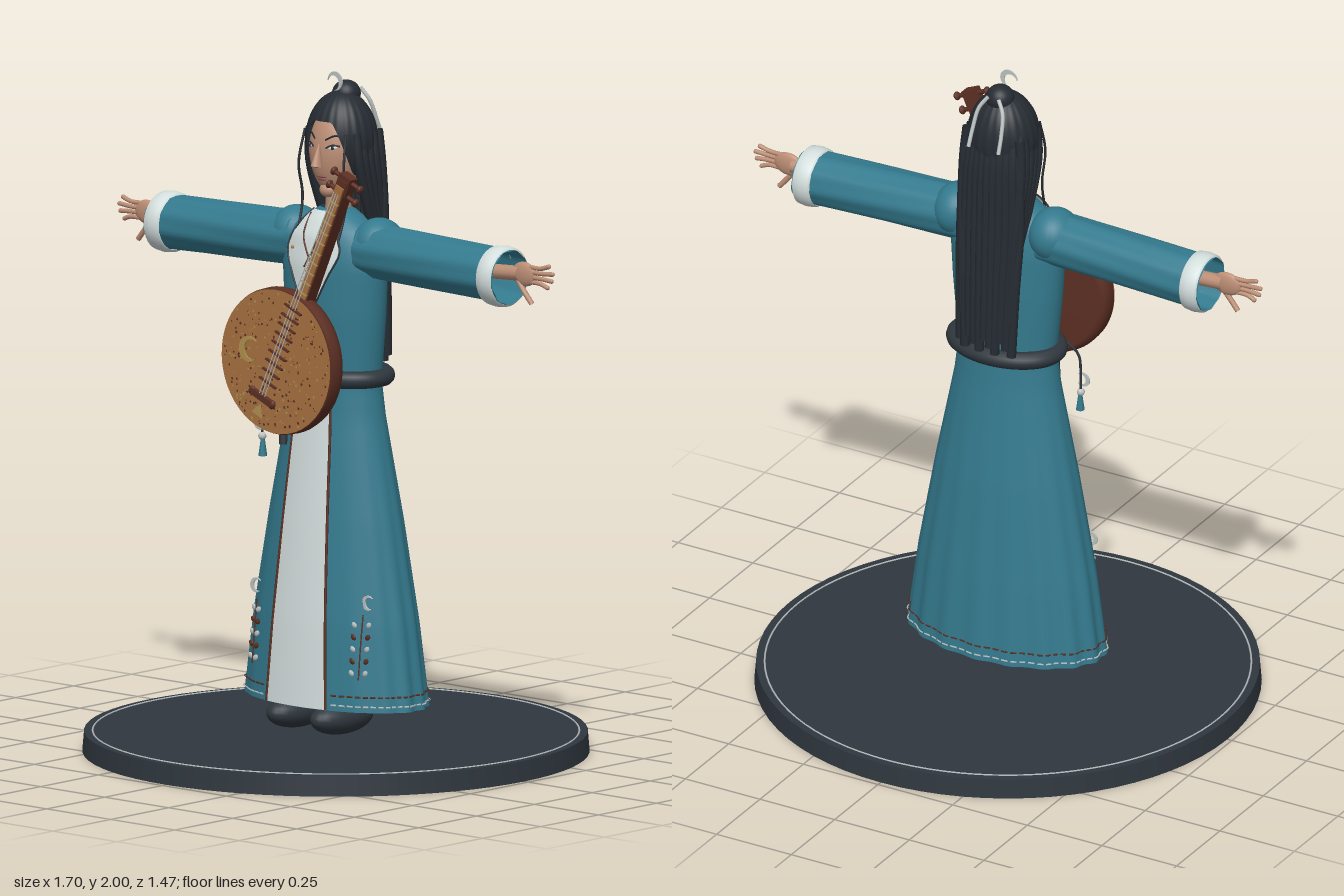
import * as THREE from 'three';
import { mergeGeometries } from 'three/addons/utils/BufferGeometryUtils.js';

const V = (x, y, z) => new THREE.Vector3(x, y, z);
const mat = (name, color) => {
  const m = new THREE.MeshStandardMaterial({ color, side: THREE.DoubleSide });
  m.name = name;
  return m;
};

// robe sections: height, half width, front depth, back depth
const SECTIONS = [
  [0.155, 0.315, 0.18, 0.19], [0.4, 0.282, 0.165, 0.172], [0.7, 0.228, 0.137, 0.145],
  [1.0, 0.168, 0.105, 0.108], [1.1, 0.155, 0.1, 0.1], [1.3, 0.175, 0.108, 0.1],
  [1.45, 0.185, 0.106, 0.095], [1.53, 0.16, 0.092, 0.085], [1.575, 0.1, 0.068, 0.07], [1.605, 0.045, 0.045, 0.05],
];
function section(y) {
  let i = 0;
  while (i < SECTIONS.length - 2 && y > SECTIONS[i + 1][0]) i++;
  const a = SECTIONS[i], b = SECTIONS[i + 1];
  const t = THREE.MathUtils.clamp((y - a[0]) / (b[0] - a[0]), 0, 1);
  return a.map((v, k) => v + (b[k] - v) * t);
}
// point on the robe at angle a (0 = front), with soft folds in the skirt
function robePoint(a, y, off = 0) {
  const [, rx, f, b] = section(y), c = Math.cos(a);
  const fold = 1 + 0.018 * Math.max(0, (1.05 - y) / 0.9) * (1 - Math.max(0, c)) * Math.cos(a * 18);
  return V((rx * fold + off) * Math.sin(a), y, ((c > 0 ? f : b) * fold + off) * c);
}
// front of the robe at a given x and y
function onFront(x, y, off = 0.006) {
  const [, rx, f] = section(y), s = THREE.MathUtils.clamp(x / rx, -1, 1);
  return V(x, y, f * Math.sqrt(1 - s * s) + off);
}
// grid surface from a function of u and v in 0..1
function surface(fn, nu, nv) {
  const pos = [], idx = [];
  for (let j = 0; j <= nv; j++) for (let i = 0; i <= nu; i++) pos.push(...fn(i / nu, j / nv).toArray());
  for (let j = 0; j < nv; j++) for (let i = 0; i < nu; i++) {
    const a = j * (nu + 1) + i, c = a + nu + 1;
    idx.push(a, a + 1, c + 1, a, c + 1, c);
  }
  const g = new THREE.BufferGeometry();
  g.setAttribute('position', new THREE.Float32BufferAttribute(pos, 3));
  g.setIndex(idx);
  g.computeVertexNormals();
  return g;
}
const tube = (pts, r, n = 16, sides = 8, closed = false) =>
  new THREE.TubeGeometry(new THREE.CatmullRomCurve3(pts, closed), n, r, sides, closed);
const ball = (rx, ry, rz, n = 24) => new THREE.SphereGeometry(1, n, n * 0.75).scale(rx, ry, rz);
function crescentGeo(r, depth = 0.005) {
  const s = new THREE.Shape();
  s.absarc(0, 0, r, 0.7, Math.PI * 2 - 0.7, false);
  s.absarc(r * 0.32, 0, r * 0.78, -0.98, 0.98, true);
  return new THREE.ExtrudeGeometry(s, { depth, bevelEnabled: false, curveSegments: 14 });
}

export function createModel() {
  const M = {
    teal: mat('teal cloth', 0x347a8e), white: mat('pale cloth', 0xd3dedd), hair: mat('black hair', 0x262c33),
    slate: mat('dark slate', 0x2f373e), skin: mat('skin', 0xbd8f76), tan: mat('tan wood', 0xa8713f),
    brown: mat('red brown wood', 0x5c2f23), gold: mat('gold', 0xb0914f), silver: mat('silver', 0xbcc3c3),
    rose: mat('lips', 0x8c5550),
  };
  const model = new THREE.Group();
  model.name = 'figure';
  const add = (name, geo, m, p = [0, 0, 0], r = [0, 0, 0], parent = model) => {
    const mesh = new THREE.Mesh(geo, m);
    mesh.name = name;
    mesh.position.set(...p);
    mesh.rotation.set(...r);
    parent.add(mesh);
    return mesh;
  };
  const both = fn => [1, -1].forEach(fn);

  // display base
  add('base', new THREE.CylinderGeometry(0.73, 0.735, 0.06, 72), M.slate, [0, 0.03, 0]);
  add('baseRing', new THREE.TorusGeometry(0.705, 0.003, 4, 96), M.silver, [0, 0.06, 0], [Math.PI / 2, 0, 0]);

  // robe, pale front panel and trim
  add('robe', surface((u, v) => robePoint(u * Math.PI * 2, 0.155 + v * 1.45), 144, 48), M.teal);
  const panelHalf = y => 0.115 - (y - 0.155) * 0.054;
  add('frontPanel', surface((u, v) => {
    const y = 0.157 + v * 0.93;
    return onFront((u * 2 - 1) * panelHalf(y), y);
  }, 12, 24), M.white);
  both(s => add('panelTrim', tube([0.158, 0.4, 0.7, 1.0, 1.09].map(y => onFront(s * panelHalf(y), y)), 0.004), M.brown));
  [[0.172, M.silver], [0.2, M.brown]].forEach(([y, m]) => {
    const dashes = [];
    for (let i = 0; i < 60; i++) {
      const a = 0.42 + (i / 60) * (Math.PI * 2 - 0.84);
      dashes.push(tube([0, 0.03, 0.06].map(d => robePoint(a + d, y, 0.003)), 0.0028, 3, 4));
    }
    add('hemStitching', mergeGeometries(dashes), m);
  });
  both(s => {
    add('skirtMoon', crescentGeo(0.022), M.silver, onFront(s * 0.218, 0.475, 0.008).toArray());
    for (let i = 0; i < 5; i++) both(k => add('skirtEmbroidery', ball(0.011, 0.008, 0.004, 8), i % 2 ? M.brown : M.silver,
      onFront(s * 0.205 + k * 0.018, 0.27 + i * 0.035, 0.006).toArray(), [0, 0, k * 0.6]));
    add('skirtStem', tube([0.25, 0.35, 0.44].map(y => onFront(s * 0.207, y)), 0.002), M.brown);
  });

  // collar lapels
  const lapelEdge = [[0.042, 1.6], [0.075, 1.55], [0.1, 1.49], [0.07, 1.42], [0.03, 1.34]];
  both(s => {
    add('lapel', surface((u, v) => {
      const f = v * 4, i = Math.min(3, Math.floor(f)), [a, b] = [lapelEdge[i], lapelEdge[i + 1]];
      const x = a[0] + (b[0] - a[0]) * (f - i), y = a[1] + (b[1] - a[1]) * (f - i);
      return onFront(s * x * u, y, 0.014);
    }, 6, 16), M.white);
    add('lapelTrim', tube(lapelEdge.map(([x, y]) => onFront(s * x, y, 0.015)), 0.003), M.slate);
    add('lapelFold', tube([onFront(s * 0.04, 1.59, 0.016), onFront(s * 0.03, 1.53, 0.016), onFront(s * -0.015, 1.44, 0.016)], 0.0025), M.brown);
    add('lapelStud', ball(0.006, 0.006, 0.004, 8), M.gold, onFront(s * 0.072, 1.49, 0.018).toArray());
  });

  // sash and waist pendants
  const ring = Array.from({ length: 24 }, (_, i) => {
    const a = (i / 24) * Math.PI * 2;
    return V(0.162 * Math.sin(a), 1.115, -0.006 + 0.112 * Math.cos(a));
  });
  add('sash', tube(ring, 0.026, 72, 12, true), M.slate);
  add('pendantCord', tube([V(-0.12, 1.1, 0.11), V(-0.16, 1.05, 0.13), V(-0.165, 0.98, 0.135), V(-0.165, 0.88, 0.135)], 0.004), M.slate);
  add('pendantMoon', crescentGeo(0.022), M.silver, [-0.17, 0.965, 0.138]);
  add('pendantBead', ball(0.012, 0.012, 0.012, 10), M.silver, [-0.165, 0.925, 0.136]);
  add('pendantTassel', new THREE.CylinderGeometry(0.006, 0.013, 0.05, 8), M.teal, [-0.163, 0.892, 0.136]);
  add('sashTail', tube([V(-0.08, 1.1, 0.12), V(-0.088, 1.0, 0.125), V(-0.085, 0.91, 0.135)], 0.012), M.slate);

  // shoes, sleeves, cuffs and hands
  both(s => {
    add('shoe', ball(0.06, 0.05, 0.12), M.slate, [s * 0.085, 0.12, 0.07]);
    add('shoulder', ball(0.075, 0.08, 0.082), M.teal, [s * 0.16, 1.508, -0.008]);
    add('sleeve', surface((u, v) => {
      const a = u * Math.PI * 2, r = 0.079 + 0.002 * Math.cos(a * 9 + v * 3);
      return V(s * (0.13 + v * 0.55), 1.493 - v * 0.016 + r * Math.cos(a), r * Math.sin(a));
    }, 48, 12), M.teal);
    const cuff = [[0.08, -0.029], [0.087, -0.024], [0.09, 0], [0.087, 0.024], [0.08, 0.029]];
    add('cuff', new THREE.LatheGeometry(cuff.map(p => new THREE.Vector2(...p)), 40), M.white, [s * 0.648, 1.478, 0], [0, 0, Math.PI / 2]);
    add('wrist', tube([V(s * 0.55, 1.485, 0), V(s * 0.72, 1.495, 0)], 0.022, 4, 12), M.skin);
    add('palm', ball(0.047, 0.036, 0.014), M.skin, [s * 0.735, 1.495, 0]);
    for (let i = 0; i < 4; i++) {
      const y = 1.474 + i * 0.015, tip = 0.845 - [0.02, 0.004, 0, 0.014][i], yt = y + (i - 1.5) * 0.006;
      add('finger', tube([V(s * 0.75, y, 0), V(s * 0.8, y, 0.002), V(s * tip, yt, 0)], 0.0068, 6, 8), M.skin);
      add('fingertip', ball(0.0068, 0.0068, 0.0068, 8), M.skin, [s * tip, yt, 0]);
    }
    add('thumb', tube([V(s * 0.715, 1.475, 0.004), V(s * 0.74, 1.445, 0.006), V(s * 0.768, 1.412, 0.004)], 0.008, 6, 8), M.skin);
  });

  // head and face
  add('neck', new THREE.CylinderGeometry(0.034, 0.042, 0.13, 20), M.skin, [0, 1.605, -0.01]);
  const head = ball(0.085, 0.135, 0.078, 32), hp = head.attributes.position;
  for (let i = 0; i < hp.count; i++) {
    const low = Math.max(0, -hp.getY(i) / 0.135);
    hp.setX(i, hp.getX(i) * (1 - 0.16 * low));
  }
  head.computeVertexNormals();
  add('head', head, M.skin, [0, 1.767, -0.005]);
  const face = (x, y, off = 0.002) => V(x, y, -0.005 + off +
    0.078 * Math.sqrt(Math.max(0, 1 - (x / 0.085) ** 2 - ((y - 1.767) / 0.135) ** 2)));
  add('nose', new THREE.ConeGeometry(0.016, 0.075, 12).scale(1, 1, 1.3), M.skin, [0, 1.768, 0.077], [-0.17, 0, 0]);
  add('noseTip', ball(0.011, 0.009, 0.012, 12), M.skin, [0, 1.737, 0.087]);
  add('chin', ball(0.027, 0.022, 0.022, 16), M.skin, [0, 1.657, 0.035]);
  both(s => {
    add('eyeWhite', ball(0.015, 0.006, 0.004, 12), M.white, face(s * 0.042, 1.788, -0.001).toArray(), [0, s * 0.45, s * 0.12]);
    add('iris', ball(0.006, 0.006, 0.004, 10), M.hair, face(s * 0.042, 1.788, 0.001).toArray());
    add('eyelid', tube([face(s * 0.024, 1.787), face(s * 0.042, 1.796), face(s * 0.061, 1.793)], 0.0025), M.hair);
    add('eyebrow', tube([face(s * 0.02, 1.81), face(s * 0.045, 1.823), face(s * 0.066, 1.818)], 0.0028), M.hair);
  });
  add('upperLip', ball(0.02, 0.004, 0.006, 12), M.rose, face(0, 1.7, 0).toArray());
  add('lowerLip', ball(0.016, 0.005, 0.006, 12), M.rose, face(0, 1.692, 0).toArray());

  // hair cap with arched hairline, bun and crescent pin
  add('hairCap', surface((u, v) => {
    const a = (u * 2 - 1) * Math.PI;
    const p = v * (1.12 + 1.2 * THREE.MathUtils.smoothstep(Math.abs(a), 0.3, 1.25));
    const r = 1 + 0.012 * Math.cos(a * 22) * Math.sin(p);
    return V(0.107 * r * Math.sin(p) * Math.sin(a), 1.8 + 0.142 * Math.cos(p), -0.025 + 0.1 * r * Math.sin(p) * Math.cos(a));
  }, 132, 18), M.hair);
  add('bun', ball(0.042, 0.04, 0.042), M.hair, [0, 1.93, -0.045]);
  add('hairPin', crescentGeo(0.028, 0.004), M.silver, [-0.003, 1.972, -0.002], [0, 0, -2.4]);
  both(s => add('hairRibbon', tube([V(s * 0.018, 1.945, -0.085), V(s * 0.04, 1.91, -0.1), V(s * 0.048, 1.85, -0.122), V(s * 0.05, 1.8, -0.142)], 0.006), M.silver));

  // long back hair, side locks and loose front strands
  for (let i = 0; i < 11; i++) {
    const k = i / 5 - 1, d = 0.025 * k * k;
    add('backHair', tube([V(k * 0.07, 1.87, -0.08 + d), V(k * 0.09, 1.75, -0.115 + d), V(k * 0.098, 1.55, -0.125 + d),
      V(k * 0.092, 1.35, -0.132 + d * 0.6), V(k * 0.085, 1.14 + 0.02 * (i % 3), -0.137 + d * 0.4)], 0.0145, 24, 8), M.hair);
  }
  both(s => {
    for (let i = 0; i < 5; i++) {
      const z = 0.012 - i * 0.024;
      add('sideHair', tube([V(s * 0.088, 1.83, z), V(s * 0.096, 1.74, z - 0.005), V(s * 0.093, 1.6, z * 0.7 - 0.045),
        V(s * 0.085, 1.45, -0.1 + z * 0.2), V(s * 0.078, 1.25, -0.125)], 0.0145, 24, 8), M.hair);
    }
    add('frontStrand', tube([V(s * 0.08, 1.83, 0.045), V(s * 0.088, 1.73, 0.064), V(s * 0.085, 1.63, 0.05), V(s * 0.08, 1.5, 0.085)], 0.004, 16, 6), M.hair);
  });

  // round lute, tilted across the chest
  const lute = new THREE.Group();
  lute.name = 'lute';
  lute.position.set(0.015, 1.185, 0);
  lute.rotation.z = -0.41;
  model.add(lute);
  const part = (name, geo, m, p, r) => add(name, geo, m, p, r, lute);
  const bowl = [[0, 0.212], [0.195, 0.212], [0.21, 0.22], [0.216, 0.24], [0.215, 0.268], [0.208, 0.274], [0, 0.274]];
  part('luteBody', new THREE.LatheGeometry(bowl.map(p => new THREE.Vector2(...p)), 56), M.brown, [0, 0, 0], [Math.PI / 2, 0, 0]);
  part('luteFace', new THREE.CircleGeometry(0.212, 56), M.tan, [0, 0, 0.276]);
  let seed = 7;
  const rnd = () => (seed = (seed * 16807) % 2147483647) / 2147483647;
  [[M.brown, 170], [M.gold, 130]].forEach(([m, n]) => {
    const specks = Array.from({ length: n }, () => {
      const r = 0.204 * Math.sqrt(rnd()), a = rnd() * Math.PI * 2;
      return new THREE.CircleGeometry(0.002 + rnd() * 0.0025, 6).translate(r * Math.cos(a), r * Math.sin(a), 0.277);
    });
    part('faceSpecks', mergeGeometries(specks), m);
  });
  part('luteNeck', new THREE.BoxGeometry(0.038, 0.42, 0.04), M.brown, [0, 0.4, 0.237]);
  part('fingerboard', new THREE.BoxGeometry(0.03, 0.4, 0.006), M.tan, [0, 0.39, 0.259]);
  part('headstock', new THREE.BoxGeometry(0.046, 0.06, 0.034), M.brown, [0, 0.595, 0.237]);
  [0.565, 0.61].forEach(y => {
    part('tuningPeg', new THREE.CylinderGeometry(0.007, 0.007, 0.11, 10), M.brown, [0, y, 0.238], [0, 0, Math.PI / 2]);
    both(s => part('pegKnob', ball(0.009, 0.013, 0.013, 10), M.brown, [s * 0.055, y, 0.238]));
  });
  for (let i = 0; i < 9; i++) part('fret', new THREE.BoxGeometry(0.068, 0.005, 0.009), M.brown, [0, -0.07 + i * 0.031, 0.281]);
  for (let i = 0; i < 10; i++) part('neckFret', new THREE.BoxGeometry(0.034, 0.005, 0.006), M.gold, [0, 0.23 + i * 0.034, 0.262]);
  [-1, 0, 1].forEach(k => part('string', tube([V(k * 0.011, -0.12, 0.287), V(k * 0.01, 0.2, 0.283), V(k * 0.009, 0.57, 0.268)], 0.0017, 8, 5), M.silver));
  part('bridge', new THREE.BoxGeometry(0.085, 0.018, 0.016), M.brown, [0, -0.12, 0.283]);
  both(s => part('bridgeEnd', ball(0.012, 0.014, 0.009, 10), M.brown, [s * 0.042, -0.12, 0.283]));
  part('tailPiece', new THREE.CircleGeometry(0.026, 3), M.gold, [0, -0.168, 0.279], [0, 0, Math.PI / 2]);
  part('luteMoon', crescentGeo(0.038, 0.004), M.gold, [-0.105, -0.018, 0.276], [0, 0, 0.41]);
  return model;
}
